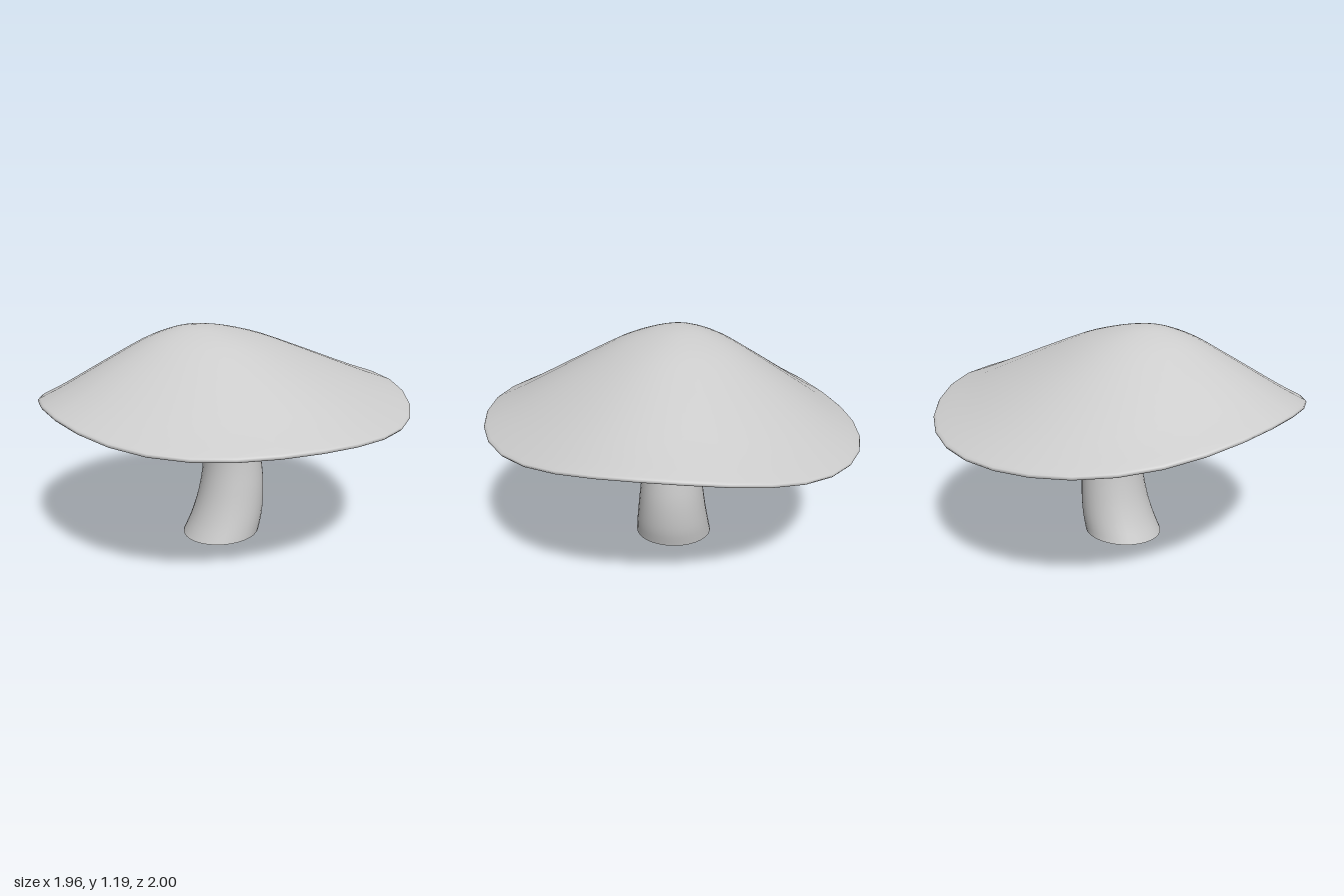
import * as THREE from 'three';
import { mergeVertices } from 'three/addons/utils/BufferGeometryUtils.js';

const SIDES = 32;
const lerp = THREE.MathUtils.lerp;

// One closed ring of points: fn(angle) -> [x, y, z]
function ring(fn) {
  return Array.from({ length: SIDES }, (_, j) => fn((j / SIDES) * Math.PI * 2));
}

// Skin between successive rings, smooth all the way round
function loft(rings) {
  const index = [];
  for (let i = 0; i < rings.length - 1; i++) {
    for (let j = 0; j < SIDES; j++) {
      const k = (j + 1) % SIDES;
      const a = i * SIDES + j, b = i * SIDES + k, c = a + SIDES, d = b + SIDES;
      index.push(a, c, b, b, c, d);
    }
  }
  let geo = new THREE.BufferGeometry();
  geo.setAttribute('position', new THREE.Float32BufferAttribute(rings.flat(2), 3));
  geo.setIndex(index);
  geo = mergeVertices(geo, 1e-5);
  geo.computeVertexNormals();
  return geo;
}

// Smooth samples through a list of points
function smooth(points, count) {
  return new THREE.CatmullRomCurve3(points.map((p) => new THREE.Vector3(...p)), false, 'centripetal').getPoints(count);
}

// Stem ring: height, centre x, radius, sideways tilt
function stemRing(y, cx, r, tilt = 0.05) {
  return ring((a) => [cx + r * Math.cos(a), y + tilt * r * Math.cos(a), r * Math.sin(a)]);
}

// Wavy height of the cap's rim
function rimHeight(a) {
  const z = Math.sin(a);
  return 0.83 - 0.226 * z ** 2 + 0.116 * z ** 4 + 0.05 * z ** 3;
}

function rimPoint(a, scale, dy) {
  return [0.98 * scale * Math.cos(a), rimHeight(a) + dy, scale * Math.sin(a)];
}

export function createModel() {
  const group = new THREE.Group();
  const material = new THREE.MeshStandardMaterial({ color: 0xcccccc });
  const add = (name, geo) => {
    const mesh = new THREE.Mesh(geo, material);
    mesh.name = name;
    group.add(mesh);
  };

  // Curved stem with its swollen collar: [height, centre x, radius]
  const stem = smooth([
    [0.01, -0.02, 0.214], [0.1, 0.013, 0.203], [0.2, 0.036, 0.19], [0.3, 0.048, 0.178],
    [0.4, 0.05, 0.166], [0.48, 0.045, 0.16], [0.53, 0.04, 0.163], [0.55, 0.038, 0.182],
    [0.565, 0.036, 0.2], [0.585, 0.034, 0.2], [0.62, 0.029, 0.186], [0.66, 0.02, 0.173], [0.7, 0.014, 0.17],
  ], 36).map((p) => stemRing(p.x, p.y, p.z));
  add('stem', loft(stem));
  add('stemBase', loft([stemRing(0.01, -0.02, 0), stem[0]]));

  const capRings = [];

  // Neck flaring out into the underside: [height, centre x, radius]
  const neck = [
    [0.7, 0.014, 0.17], [0.73, 0.01, 0.175], [0.755, 0.006, 0.195],
    [0.778, 0.003, 0.235], [0.795, 0, 0.3], [0.808, 0, 0.38],
  ];
  neck.forEach(([y, cx, r], i) => capRings.push(stemRing(y, cx, r, 0.05 * (1 - i / 5))));

  // Gently hollow underside, from the flare to the rim
  for (let i = 1; i < 8; i++) {
    const s = i / 8;
    capRings.push(ring((a) => {
      const [x, y, z] = rimPoint(a, 0.98, -0.01);
      return [
        lerp(0.38 * Math.cos(a), x, s),
        lerp(0.808, y, s) + 0.025 * Math.sin(Math.PI * s),
        lerp(0.38 * Math.sin(a), z, s),
      ];
    }));
  }

  // Thin rounded rim
  for (const [scale, dy] of [[0.98, -0.01], [0.994, -0.008], [1, 0], [0.996, 0.008]]) {
    capRings.push(ring((a) => rimPoint(a, scale, dy)));
  }

  // Upper surface rising to an off-centre peak: [distance from peak, height share]
  const profile = smooth([
    [0.985, 0.015, 0], [0.85, 0.165, 0], [0.67, 0.388, 0], [0.5, 0.6, 0],
    [0.3, 0.835, 0], [0.16, 0.945, 0], [0.08, 0.985, 0], [0, 1, 0],
  ], 20);
  for (const p of profile) {
    capRings.push(ring((a) => {
      const [x, y, z] = rimPoint(a, 1, 0.008);
      return [lerp(-0.165, x, p.x), lerp(y, 1.19, p.y), z * p.x];
    }));
  }
  add('cap', loft(capRings));

  return group;
}
